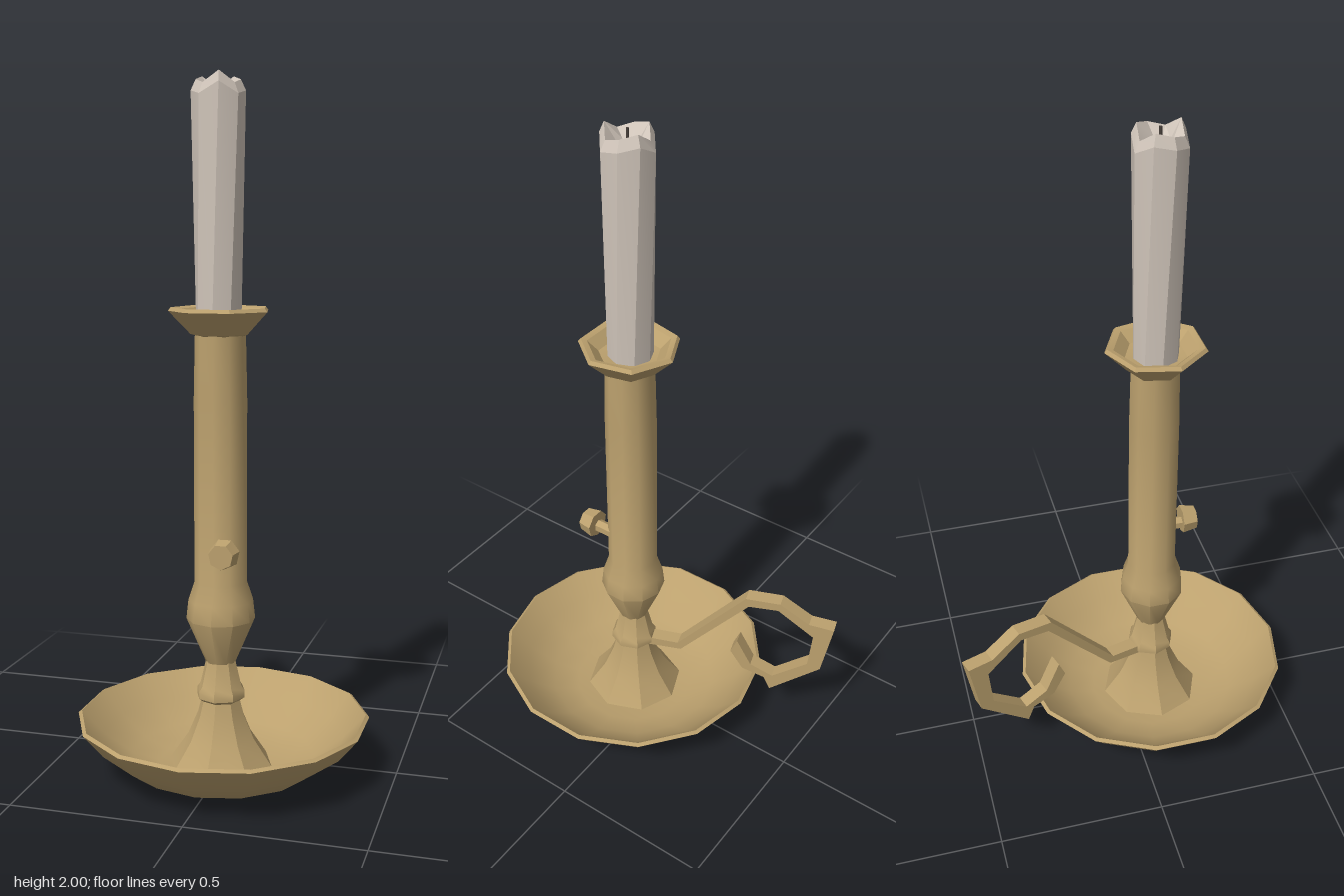
import * as THREE from 'three';
import { toCreasedNormals } from 'three/addons/utils/BufferGeometryUtils.js';

export function createModel() {
  const material = (name, color) => {
    const m = new THREE.MeshStandardMaterial({ color });
    m.name = name;
    return m;
  };
  const brass = material('brass', 0xbca16e);
  const wax = material('wax', 0xd0c5ba);
  const char = material('charred wick', 0x4a423c);

  const model = new THREE.Group();
  model.name = 'candlestick';
  const AXIS_X = -0.007, AXIS_Z = 0.1;

  const add = (name, geometry, mat, x = AXIS_X, y = 0, z = AXIS_Z) => {
    const mesh = new THREE.Mesh(geometry, mat);
    mesh.name = name;
    mesh.position.set(x, y, z);
    model.add(mesh);
    return mesh;
  };
  // Turned part from [radius, height] pairs
  const turned = (profile, sides, crease, phase = 0) => toCreasedNormals(
    new THREE.LatheGeometry(profile.map(([r, y]) => new THREE.Vector2(r, y)), sides, phase), crease);

  // Wide shallow dish, outside then inside
  add('dish', turned([
    [0, 0], [0.2, 0.005], [0.28, 0.03], [0.37, 0.095], [0.428, 0.165],
    [0.418, 0.172], [0.355, 0.105], [0.27, 0.045], [0.19, 0.022], [0, 0.018],
  ], 14, 0.75, Math.PI), brass, 0);

  // Flared foot with a ring where the handle meets it
  add('foot', turned([
    [0.155, 0.02], [0.1, 0.1], [0.07, 0.17], [0.058, 0.215],
    [0.072, 0.225], [0.072, 0.245], [0.062, 0.26], [0.044, 0.335],
  ], 8, 0.6), brass);

  // Tall tube above a bulging collar
  add('stem', turned([
    [0.044, 0.33], [0.1, 0.46], [0.094, 0.515], [0.076, 0.57],
    [0.076, 1.1], [0.072, 1.29],
  ], 10, 0.75), brass);

  // Drip pan
  add('dripPan', turned([
    [0.068, 1.28], [0.085, 1.285], [0.148, 1.35], [0.14, 1.36], [0.122, 1.355],
    [0.09, 1.325], [0.05, 1.32],
  ], 7, 0.4, Math.PI), brass);

  // Candle: slightly twisted faceted shaft with an uneven melted top
  const candle = new THREE.LatheGeometry([
    [0.066, 1.3], [0.076, 1.94], [0.062, 1.97], [0.03, 1.95], [0, 1.935],
  ].map(([r, y]) => new THREE.Vector2(r, y)), 8);
  const p = candle.attributes.position;
  for (let i = 0; i < p.count; i++) {
    const x = p.getX(i), y = p.getY(i), z = p.getZ(i);
    const angle = Math.atan2(x, z);
    const twist = 0.45 * (y - 1.3);
    const c = Math.cos(twist), s = Math.sin(twist);
    const lift = y > 1.93 && Math.hypot(x, z) > 0.04
      ? 0.012 + 0.018 * Math.cos(3 * angle) : 0;
    p.setXYZ(i, x * c + z * s, y + lift, z * c - x * s);
  }
  add('candle', toCreasedNormals(candle, 0.3), wax, -0.012);
  add('wick', new THREE.CylinderGeometry(0.004, 0.005, 0.06, 5), char, -0.012, 1.96);

  // Handle: flat strip curled into a ring, as [distance behind, height]
  const outline = [
    [-0.09, 0.24], [0.05, 0.25], [0.26, 0.51], [0.365, 0.518], [0.455, 0.46],
    [0.53, 0.457], [0.5, 0.28], [0.35, 0.14], [0.33, 0.185], [0.26, 0.205],
    [0.22, 0.27], [0.24, 0.32], [0.285, 0.23], [0.355, 0.2], [0.46, 0.29],
    [0.47, 0.41], [0.36, 0.49], [0.27, 0.48], [0.06, 0.225], [-0.09, 0.21],
  ];
  const strip = new THREE.ExtrudeGeometry(
    new THREE.Shape(outline.map(([d, y]) => new THREE.Vector2(d / 0.954, y))),
    { depth: 0.044, bevelEnabled: false });
  strip.translate(0, 0, -0.022);
  add('handle', strip, brass, -0.04, 0, 0).rotation.y = Math.PI / 2 + 0.305;

  // Small knob on a pin at the front of the stem
  const turnedForward = (r1, r2, length, sides) => toCreasedNormals(
    new THREE.CylinderGeometry(r1, r2, length, sides).rotateX(Math.PI / 2), 0.3);
  add('knobPin', turnedForward(0.02, 0.02, 0.09, 6), brass, 0.03, 0.67, 0.175);
  add('knob', turnedForward(0.036, 0.044, 0.045, 7), brass, 0.035, 0.678, 0.227);

  return model;
}
